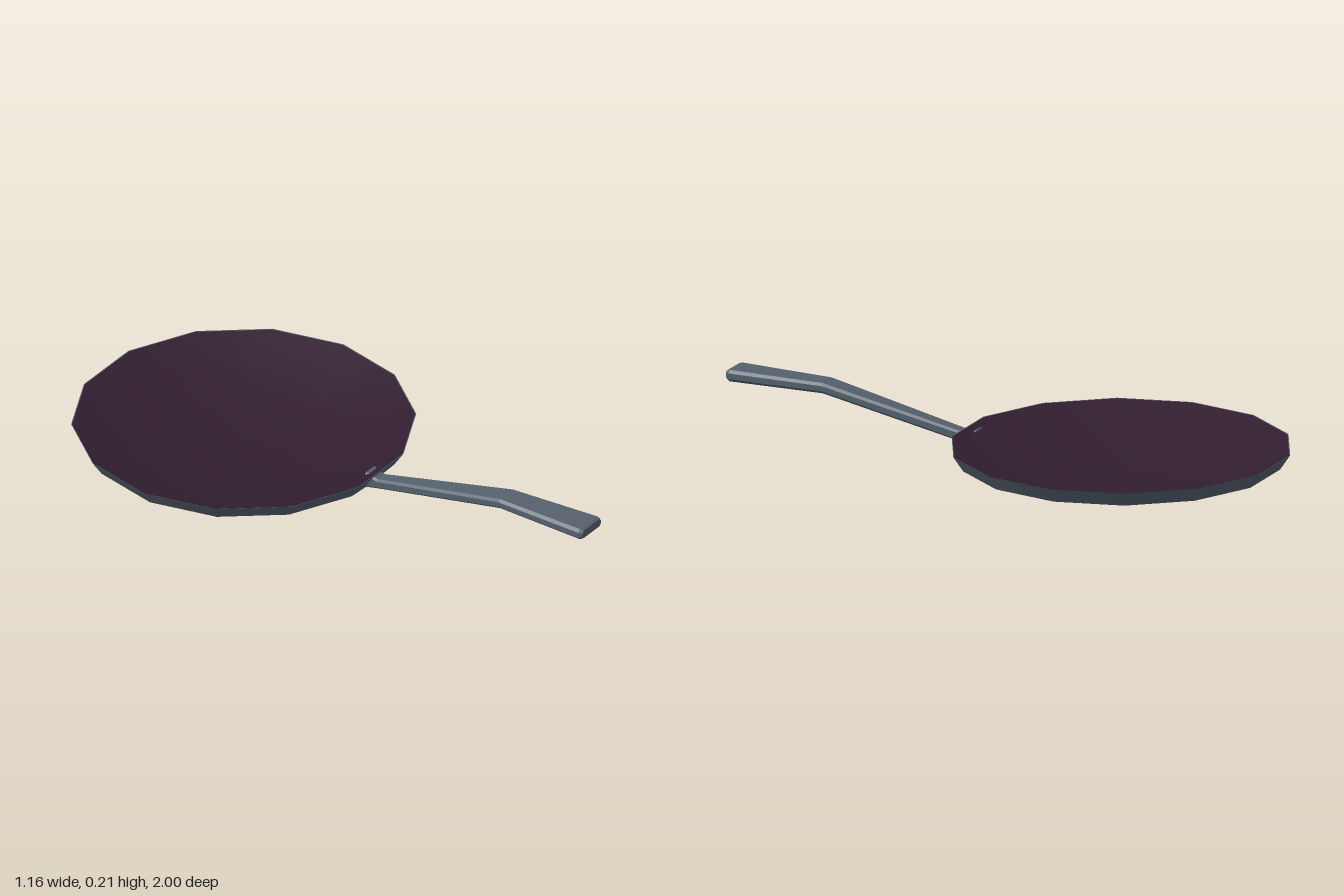
import * as THREE from 'three';
import { ConvexGeometry } from 'three/addons/geometries/ConvexGeometry.js';

const SIDES = 14;
const PAN_Z = -0.435;

// 14-sided ring surface from [radius, height] pairs
function lathe(points) {
  const profile = points.map(([r, y]) => new THREE.Vector2(r, y));
  return new THREE.LatheGeometry(profile, SIDES, Math.PI / SIDES);
}

// Loft of chamfered rectangular sections [z, centreX, halfWidth, bottom, top, chamfer]
function loft(sections) {
  const rings = sections.map(([z, cx, w, b, t, c]) => [
    [cx + w, b + c, z], [cx + w, t - c, z], [cx + w - c, t, z], [cx - w + c, t, z],
    [cx - w, t - c, z], [cx - w, b + c, z], [cx - w + c, b, z], [cx + w - c, b, z],
  ]);
  const pos = [];
  const tri = (a, b, c) => pos.push(...a, ...b, ...c);
  for (let i = 0; i < rings.length - 1; i++) {
    for (let j = 0; j < 8; j++) {
      const k = (j + 1) % 8;
      const a = rings[i][j], b = rings[i][k], c = rings[i + 1][k], d = rings[i + 1][j];
      tri(a, b, c);
      tri(a, c, d);
    }
  }
  const first = rings[0], last = rings[rings.length - 1];
  for (let j = 1; j < 7; j++) {
    tri(first[0], first[j + 1], first[j]);
    tri(last[0], last[j], last[j + 1]);
  }
  const g = new THREE.BufferGeometry();
  g.setAttribute('position', new THREE.Float32BufferAttribute(pos, 3));
  g.computeVertexNormals();
  return g;
}

export function createModel() {
  const group = new THREE.Group();
  const iron = new THREE.MeshStandardMaterial({ color: 0x55616e });
  iron.name = 'slate iron';
  const coating = new THREE.MeshStandardMaterial({ color: 0x311e30 });
  coating.name = 'plum coating';

  const add = (name, geometry, material, z = 0) => {
    const mesh = new THREE.Mesh(geometry, material);
    mesh.name = name;
    mesh.position.z = z;
    group.add(mesh);
  };

  // Pan: sloped underside, steep side wall, thin lip and dished cooking surface
  add('panBase', lathe([[0, 0], [0.3, 0], [0.545, 0.053]]), iron, PAN_Z);
  add('panWall', lathe([[0.545, 0.053], [0.58, 0.105]]), iron, PAN_Z);
  add('panLip', lathe([[0.58, 0.105], [0.577, 0.104]]), iron, PAN_Z);
  add('cookingSurface', lathe([[0.577, 0.104], [0.3, 0.026], [0, 0.02]]), coating, PAN_Z);

  // Gusset that draws the wall's lower edge down to the handle root
  const gusset = [[0, 0.05, 0.05]];
  for (const s of [-1, 1]) {
    gusset.push([s * 0.12, 0.053, 0.096], [s * 0.03 - 0.006, 0.042, 0.09],
      [s * 0.03 - 0.006, 0.053, 0.097]);
  }
  add('handleGusset', new ConvexGeometry(gusset.map((p) => new THREE.Vector3(...p))), iron);

  // Handle: rises from the wall, then levels out and widens to a bevelled end
  add('handle', loft([
    [0.09, -0.007, 0.03, 0.042, 0.1, 0.006],
    [0.135, -0.007, 0.027, 0.05, 0.086, 0.007],
    [0.65, -0.007, 0.046, 0.166, 0.202, 0.009],
    [0.988, -0.007, 0.06, 0.171, 0.211, 0.01],
    [1.0, -0.007, 0.054, 0.178, 0.206, 0.008],
  ]), iron);

  return group;
}
